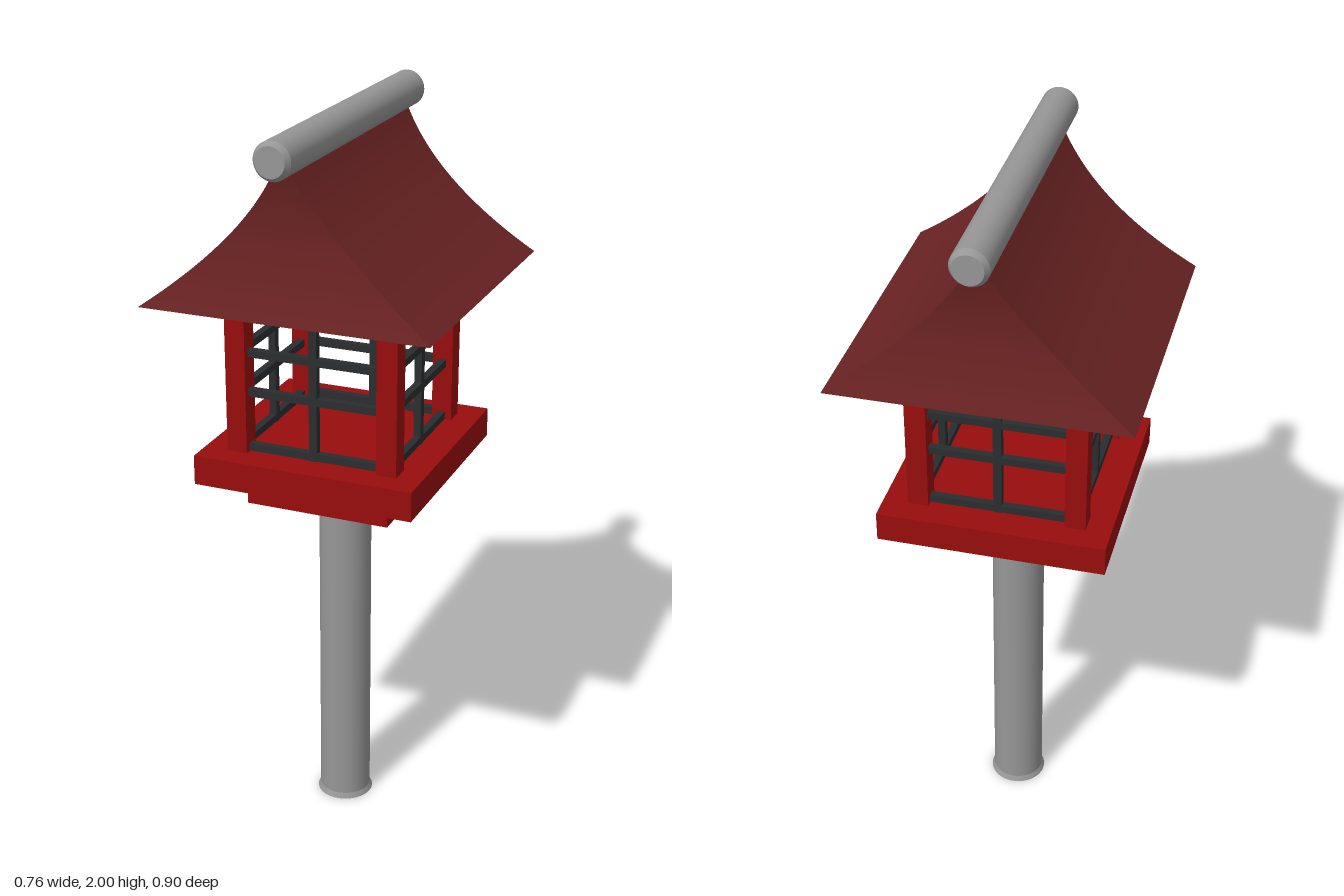
import * as THREE from 'three';

const mat = (name, color) => {
  const m = new THREE.MeshStandardMaterial({ color });
  m.name = name;
  return m;
};

export function createModel() {
  const red = mat('red paint', 0x990d0d);
  const roofRed = mat('dark red roof', 0x6b2323);
  const grey = mat('grey stone', 0x969696);
  const dark = mat('dark lattice', 0x2a2d2f);
  const model = new THREE.Group();
  model.name = 'lantern';

  const add = (name, geometry, material, parent = model) => {
    const mesh = new THREE.Mesh(geometry, material);
    mesh.name = name;
    parent.add(mesh);
    return mesh;
  };
  const box = (name, w, h, d, x, y, z, material, parent) => {
    const mesh = add(name, new THREE.BoxGeometry(w, h, d), material, parent);
    mesh.position.set(x, y, z);
    return mesh;
  };
  const cylinder = (name, top, bottom, h, y, segments = 40) => {
    const mesh = add(name, new THREE.CylinderGeometry(top, bottom, h, segments), grey);
    mesh.position.y = y;
    return mesh;
  };

  // Pole with a small foot
  cylinder('pole', 0.071, 0.071, 0.96, 0.48);
  cylinder('poleFoot', 0.071, 0.078, 0.015, 0.0075);

  // Stepped platform
  box('lowerPlatform', 0.395, 0.08, 0.395, 0, 1.0, 0, red);
  box('upperPlatform', 0.6, 0.08, 0.6, 0, 1.08, 0, red);

  // Corner posts
  for (const x of [-1, 1]) for (const z of [-1, 1])
    box('cornerPost', 0.055, 0.43, 0.055, x * 0.207, 1.335, z * 0.207, red);

  // Lattice window on each side
  for (let i = 0; i < 4; i++) {
    const lattice = new THREE.Group();
    lattice.name = 'lattice';
    lattice.rotation.y = (i * Math.PI) / 2;
    box('uprightBar', 0.022, 0.43, 0.02, 0, 1.335, 0.207, dark, lattice);
    for (const y of [1.132, 1.283, 1.39, 1.541])
      box('crossBar', 0.37, 0.02, 0.02, 0, y, 0.207, dark, lattice);
    model.add(lattice);
  }

  // Flared roof: a box whose width and depth follow curves in height
  const roof = new THREE.BoxGeometry(2, 1, 2, 1, 20, 1);
  const p = roof.attributes.position;
  for (let i = 0; i < p.count; i++) {
    const t = p.getY(i) + 0.5;
    const w = 0.38 - 0.365 * (1.45 * t - 0.45 * t * t);
    const d = 0.41 - 0.042 * (1 - ((t - 0.58) / 0.58) ** 2);
    p.setXYZ(i, p.getX(i) * w, 1.548 + 0.375 * t, p.getZ(i) * d);
  }
  roof.computeVertexNormals();
  add('roof', roof, roofRed);

  // Ridge beam with bevelled ends
  const R = 0.048;
  const beam = new THREE.Group();
  beam.name = 'ridgeBeam';
  beam.position.y = 2 - R;
  beam.rotation.x = Math.PI / 2;
  add('beamBody', new THREE.CylinderGeometry(R, R, 0.87, 40, 1, true), grey, beam);
  for (const s of [-1, 1]) {
    const cap = add('beamEnd', new THREE.CylinderGeometry(0.038, R, 0.014, 40), grey, beam);
    cap.position.y = s * 0.442;
    if (s < 0) cap.rotation.x = Math.PI;
  }
  model.add(beam);
  return model;
}
